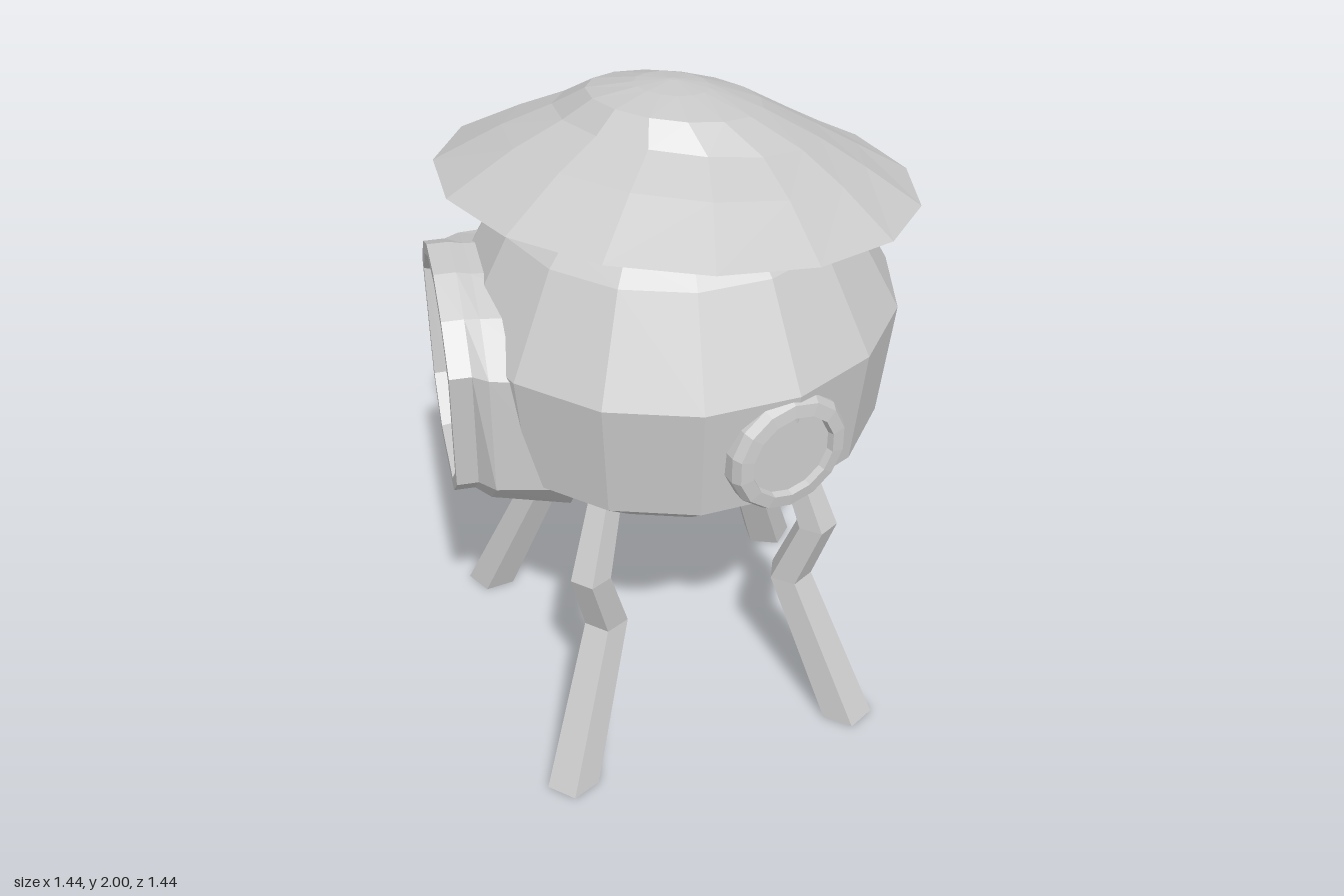
import * as THREE from 'three';

const material = new THREE.MeshStandardMaterial({ color: 0xcccccc, flatShading: true, side: THREE.DoubleSide });
const BODY_X = 0.035;

function addMesh(parent, name, geometry) {
  const mesh = new THREE.Mesh(geometry, material);
  mesh.name = name;
  parent.add(mesh);
  return mesh;
}

// Turned shape with a corner at the back
function turned(profile, sides) {
  return new THREE.LatheGeometry(profile.map(([r, y]) => new THREE.Vector2(r, y)), sides, Math.PI);
}

// Skin a list of [x, y, z] rings and cap both ends
function loft(rings) {
  const pos = [];
  const tri = (a, b, c) => pos.push(...a, ...b, ...c);
  const n = rings[0].length;
  for (let i = 0; i < rings.length - 1; i++) {
    for (let j = 0; j < n; j++) {
      const k = (j + 1) % n;
      tri(rings[i][j], rings[i][k], rings[i + 1][k]);
      tri(rings[i][j], rings[i + 1][k], rings[i + 1][j]);
    }
  }
  const first = rings[0], last = rings[rings.length - 1];
  for (let j = 1; j < n - 1; j++) {
    tri(first[0], first[j + 1], first[j]);
    tri(last[0], last[j], last[j + 1]);
  }
  const geometry = new THREE.BufferGeometry();
  geometry.setAttribute('position', new THREE.Float32BufferAttribute(pos, 3));
  geometry.computeVertexNormals();
  return geometry;
}

// Regular ring around y, moved forward by z and rising to the front by tilt
function ring(sides, r, y, z, tilt = 0, turn = 0) {
  return Array.from({ length: sides }, (_, i) => {
    const a = (i + 0.5) * 2 * Math.PI / sides + turn;
    return [r * Math.sin(a), y + tilt * r * Math.cos(a), z + r * Math.cos(a)];
  });
}

// Leg bent at two joints, five-sided
function legGeometry(turn) {
  const joints = [[0.65, 0, 0.079], [0.437, 0.48, 0.065], [0.515, 0.7, 0.059], [0.4, 0.99, 0.046]];
  return loft(joints.map(([out, y, r]) => ring(5, r, y, out, 0, turn)));
}

// Mirrored outline from its right half (listed bottom to top), at depth z
function outline(half, z, scale = 1, midY = 1.2) {
  const right = half.map(([u, y]) => [u * scale, midY + (y - midY) * scale, z]);
  const left = right.map(([u, y]) => [-u, y, z]).reverse();
  return [...right, ...left];
}

export function createModel() {
  const model = new THREE.Group();
  model.name = 'leggedHut';

  // Round body
  const body = addMesh(model, 'body', turned([
    [0, 0.79], [0.18, 0.79], [0.41, 0.865], [0.59, 1.02], [0.628, 1.37],
    [0.48, 1.645], [0.42, 1.7], [0.28, 1.76], [0, 1.77],
  ], 15));
  body.position.x = BODY_X;

  // Tilted roof with a steep step under the front of its crown
  const roofRings = [
    [0.44, -0.06, 0], [0.56, -0.03, 0], [0.657, 0, 0],
    [0.49, 0.09, -0.02, 0.056], [0.36, 0.153, -0.025, 0.085],
    [0.235, 0.235, 0.055, 0.055], [0.1, 0.272, 0.075], [0.01, 0.283, 0.07],
  ];
  const roof = addMesh(model, 'roof', loft(roofRings.map(([r, y, z, tilt]) => ring(15, r, y, z, tilt))));
  roof.position.set(0.033, 1.703, -0.035);
  roof.rotation.x = -0.147;

  // Four legs: name, sideways offset, turn of the cross-section
  [['frontLeg', 0.056, 0], ['leftLeg', 0, -0.25], ['backLeg', 0.06, -0.25], ['rightLeg', 0, 0]]
    .forEach(([name, x, turn], i) => {
      const mesh = addMesh(model, name, legGeometry(turn));
      mesh.rotation.y = i * Math.PI / 2;
      mesh.position.x = x;
    });

  // Round windows with a raised rim
  const windowGeometry = turned([
    [0.172, -0.1], [0.175, 0], [0.162, 0.025], [0.125, 0.03], [0.12, 0.01], [0, 0.01],
  ], 14).rotateX(Math.PI / 2);
  [['leftWindow', 58.3, 0.608], ['backWindow', 216, 0.615]].forEach(([name, degrees, distance]) => {
    const a = THREE.MathUtils.degToRad(degrees);
    const mesh = addMesh(model, name, windowGeometry);
    mesh.position.set(BODY_X + distance * Math.sin(a), 1.19, distance * Math.cos(a));
    mesh.rotation.y = a;
  });

  // Doorway: flared porch, rim and recessed panel
  const rim = [[0.14, 0.86], [0.27, 0.98], [0.31, 1.36], [0.21, 1.475], [0.08, 1.54]];
  const flare = [[0.28, 0.87], [0.41, 1.02], [0.405, 1.36], [0.25, 1.475], [0.08, 1.52]];
  const middle = [[0.2, 0.865], [0.34, 1.0], [0.34, 1.36], [0.225, 1.48], [0.08, 1.53]];
  const doorway = addMesh(model, 'doorway', loft([
    outline(flare, -0.31),
    outline(middle, -0.1),
    outline(rim, -0.06),
    outline(rim, 0),
    outline(rim, 0, 0.9),
    outline(rim, -0.035, 0.88),
  ]));
  doorway.position.set(-0.463, 0, 0.4375);
  doorway.rotation.y = -0.85;

  return model;
}
